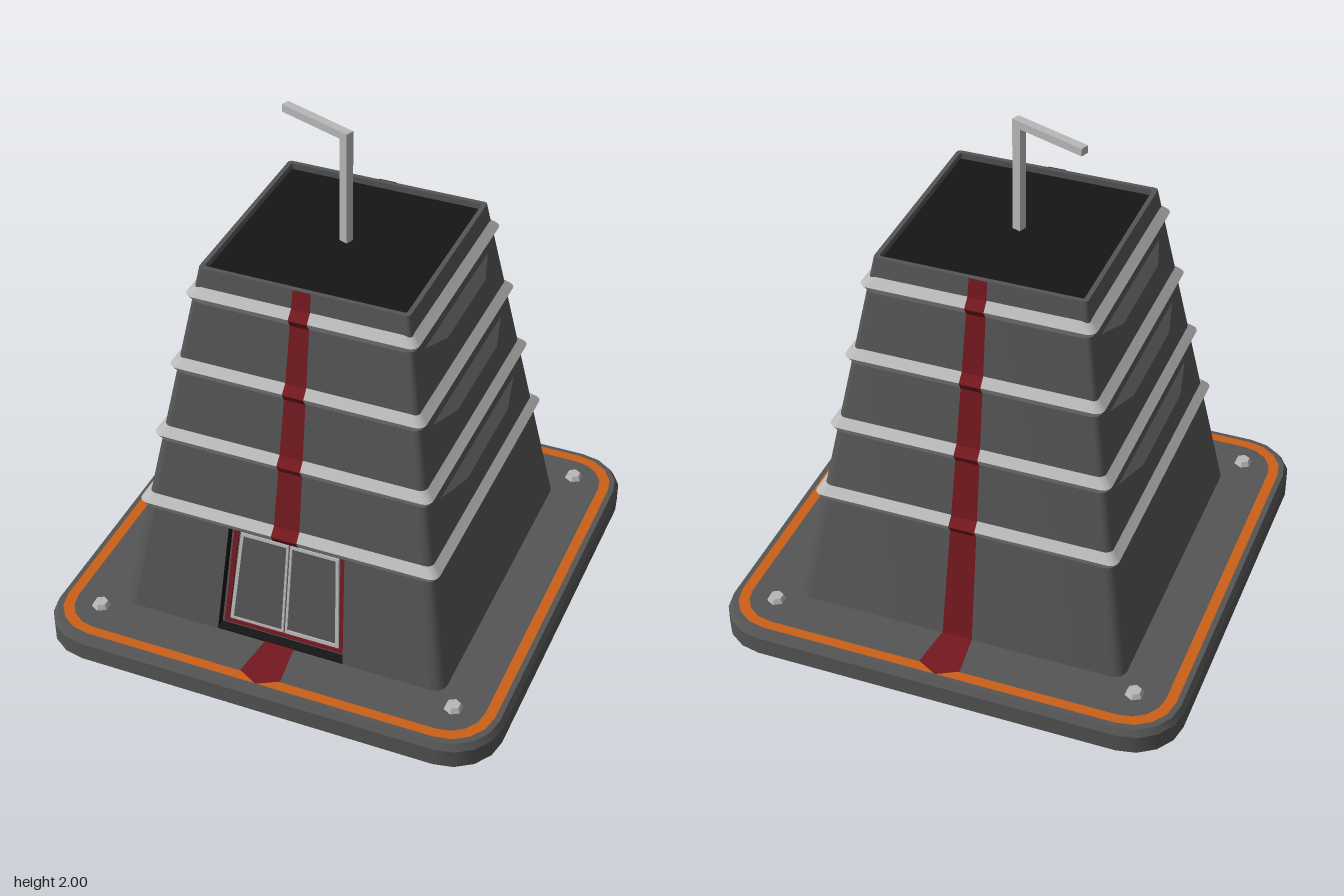
import * as THREE from 'three';
import { toCreasedNormals } from 'three/addons/utils/BufferGeometryUtils.js';

const mat = (color, side = THREE.FrontSide) => new THREE.MeshStandardMaterial({ color, side });
const grey = mat(0x555555), black = mat(0x151515), light = mat(0xb8b8b8);
const red = mat(0x74191f, THREE.DoubleSide), orange = mat(0xcc6018);

const BASE = 0.1, TOP = 1.57;
const RINGS = [0.583, 0.88, 1.172, 1.465], RING_H = 0.032, RING_D = 0.025;

// half width of the tapering tower at height y
const wall = y => 0.665 - 0.177 * (y - BASE);

// rounded square outline as [x, z] pairs
function section(half, r, seg) {
  const pts = [];
  for (let k = 0; k < 4; k++) {
    const sx = k === 0 || k === 3 ? 1 : -1, sz = k < 2 ? 1 : -1;
    for (let i = 0; i <= seg; i++) {
      const a = (k + i / seg) * Math.PI / 2;
      pts.push([sx * (half - r) + r * Math.cos(a), sz * (half - r) + r * Math.sin(a)]);
    }
  }
  return pts;
}

// skin through rounded squares given as [half, y, radius]
function loft(rows, seg = 4, openFront = false) {
  const pos = [];
  for (let i = 0; i + 1 < rows.length; i++) {
    const [lo, hi] = [rows[i], rows[i + 1]].map(([h, y, r]) =>
      section(h, r, seg).map(([x, z]) => [x, y, z]));
    for (let j = 0; j < lo.length; j++) {
      if (openFront && i === 0 && j === seg) continue;
      const n = (j + 1) % lo.length;
      pos.push(...lo[j], ...hi[j], ...hi[n], ...lo[j], ...hi[n], ...lo[n]);
    }
  }
  const g = new THREE.BufferGeometry();
  g.setAttribute('position', new THREE.Float32BufferAttribute(pos, 3));
  return toCreasedNormals(g, 0.5);
}

const polygon = pts => new THREE.Shape(pts.map(p => new THREE.Vector2(...p)));
const trapezoid = (w0, y0, w1, y1) => [[-w0, y0], [w0, y0], [w1, y1], [-w1, y1]];
function frame(outer, inner) {
  const s = polygon(outer);
  s.holes.push(polygon(inner));
  return s;
}

// lean a flat geometry against the sloping front wall
function onWall(g, offset = 0) {
  const p = g.attributes.position;
  for (let i = 0; i < p.count; i++) p.setZ(i, p.getZ(i) + wall(p.getY(i)) + offset);
  g.computeVertexNormals();
  return g;
}
const slab = (shape, depth, offset) =>
  onWall(new THREE.ExtrudeGeometry(shape, { depth, bevelEnabled: false }), offset);

// flat band through [halfWidth, y, z] stations
function ribbon(stations) {
  const pos = [];
  for (let i = 0; i + 1 < stations.length; i++) {
    const [a, y0, z0] = stations[i], [b, y1, z1] = stations[i + 1];
    pos.push(-a, y0, z0, a, y0, z0, b, y1, z1, -a, y0, z0, b, y1, z1, -b, y1, z1);
  }
  const g = new THREE.BufferGeometry();
  g.setAttribute('position', new THREE.Float32BufferAttribute(pos, 3));
  g.computeVertexNormals();
  return g;
}

// louvre hood: a box tapered towards its outer face
function ventGeometry(y0, w0, w1, wOut) {
  const g = new THREE.BoxGeometry(2, 2, 2), p = g.attributes.position;
  for (let i = 0; i < p.count; i++) {
    const out = p.getZ(i) > 0, up = p.getY(i) > 0;
    const y = y0 + (up ? (out ? 0.115 : 0.147) : (out ? 0.04 : 0));
    const w = out ? wOut : up ? w1 : w0;
    p.setXYZ(i, p.getX(i) * w, y, wall(y) + (out ? 0.034 : -0.004));
  }
  g.computeVertexNormals();
  return g;
}

export function createModel() {
  const model = new THREE.Group();
  const add = (name, geometry, material, parent = model) => {
    const m = new THREE.Mesh(geometry, material);
    m.name = name;
    parent.add(m);
    return m;
  };

  // base plate with its painted border
  add('basePlate', loft([[0.922, 0, 0.2], [0.922, 0.075, 0.2], [0.907, BASE, 0.19], [0, BASE, 0]]), grey);
  add('baseUnderside', loft([[0, 0, 0], [0.922, 0, 0.2]]), black);
  const border = new THREE.ShapeGeometry(frame(section(0.886, 0.175, 4), section(0.845, 0.14, 4)));
  add('baseBorder', border.rotateX(-Math.PI / 2).translate(0, BASE + 0.003, 0), orange);

  // bolts in the four corners
  for (const x of [-0.73, 0.73]) for (const z of [-0.73, 0.73]) {
    const bolt = new THREE.Group();
    bolt.name = 'bolt';
    bolt.position.set(x, BASE, z);
    const head = new THREE.CylinderGeometry(0.027, 0.037, 0.02, 6).toNonIndexed();
    head.computeVertexNormals();
    add('boltHead', head, light, bolt).position.y = 0.022;
    add('boltShank', new THREE.CylinderGeometry(0.012, 0.012, 0.014, 6), light, bolt).position.y = 0.007;
    model.add(bolt);
  }

  // tower shell with a raised rim, and a front wall notched for the doorway
  add('towerShell', loft([[wall(BASE), BASE, 0.05], [wall(TOP), TOP, 0.015],
    [0.387, TOP, 0.008], [0.387, 1.545, 0.008]], 4, true), grey);
  add('roof', loft([[0.387, 1.545, 0.008], [0, 1.545, 0]]), black);
  const half = wall(BASE) - 0.05, topHalf = wall(TOP) - 0.015;
  add('frontWall', onWall(new THREE.ShapeGeometry(polygon([[-half, BASE], [-0.26, BASE], [-0.235, 0.55],
    [0.235, 0.55], [0.26, BASE], [half, BASE], [topHalf, TOP], [-topHalf, TOP]]))), grey);

  // bands around the tower
  for (const y of RINGS) {
    add('band', loft([[wall(y - RING_H), y - RING_H, 0.03], [wall(y) + RING_D, y, 0.035],
      [wall(y + RING_H), y + RING_H, 0.03]]), light);
  }

  // recessed double door
  const door = new THREE.Group();
  door.name = 'door';
  model.add(door);
  add('doorJamb', slab(frame(trapezoid(0.268, 0.09, 0.243, 0.558), trapezoid(0.26, 0.095, 0.235, 0.55)),
    0.042, -0.044), black, door);
  add('doorSill', new THREE.BoxGeometry(0.52, 0.006, 0.06), black, door).position.set(0, BASE + 0.002, 0.633);
  add('doorPanel', onWall(new THREE.ShapeGeometry(polygon(trapezoid(0.265, BASE, 0.24, 0.555))), -0.042), grey, door);
  add('doorFrame', slab(frame(trapezoid(0.248, 0.115, 0.226, 0.54), trapezoid(0.229, 0.129, 0.207, 0.521)),
    0.008, -0.043), red, door);
  for (const s of [-1, 1]) {
    const flip = pts => pts.map(([x, y]) => [s * x, y]);
    add('doorLeafTrim', slab(frame(flip([[0.003, 0.133], [0.226, 0.133], [0.2, 0.515], [0.003, 0.515]]),
      flip([[0.012, 0.146], [0.211, 0.146], [0.188, 0.503], [0.012, 0.503]])), 0.007, -0.043), light, door);
  }

  // stripes running down the tower over the bands and out across the base
  const lift = 0.004;
  const station = (y, extra = 0) => [0.035 + 0.017 * (TOP - y), y, wall(y) + extra + lift];
  const climb = RINGS.flatMap(y => [station(y - RING_H), station(y, RING_D), station(y + RING_H)]);
  climb.push(station(TOP));
  const arrow = [[0, BASE + 0.006, 0.89], [0.082, BASE + 0.006, 0.845], [0.06, BASE + 0.006, 0.667]];
  add('frontStripe', ribbon(climb), red);
  add('frontArrow', ribbon(arrow), red);
  add('backStripe', ribbon([...arrow, station(BASE + 0.006), ...climb]), red).rotation.y = Math.PI;

  // louvre hoods on both flanks
  const vents = [[0.66, 0.455, 0.43, 0.23], [0.955, 0.415, 0.39, 0.215], [1.252, 0.37, 0.35, 0.2]];
  for (const s of [-1, 1]) for (const v of vents) {
    add('sideVent', ventGeometry(...v), grey).rotation.y = s * Math.PI / 2;
  }

  // bent mast on the roof
  const mast = new THREE.Group();
  mast.name = 'mast';
  mast.rotation.y = -0.36;
  add('mastPole', new THREE.BoxGeometry(0.036, 0.46, 0.034), light, mast).position.y = 1.77;
  add('mastArm', new THREE.BoxGeometry(0.285, 0.03, 0.034), light, mast).position.set(-0.16, 1.985, 0);
  model.add(mast);

  return model;
}
